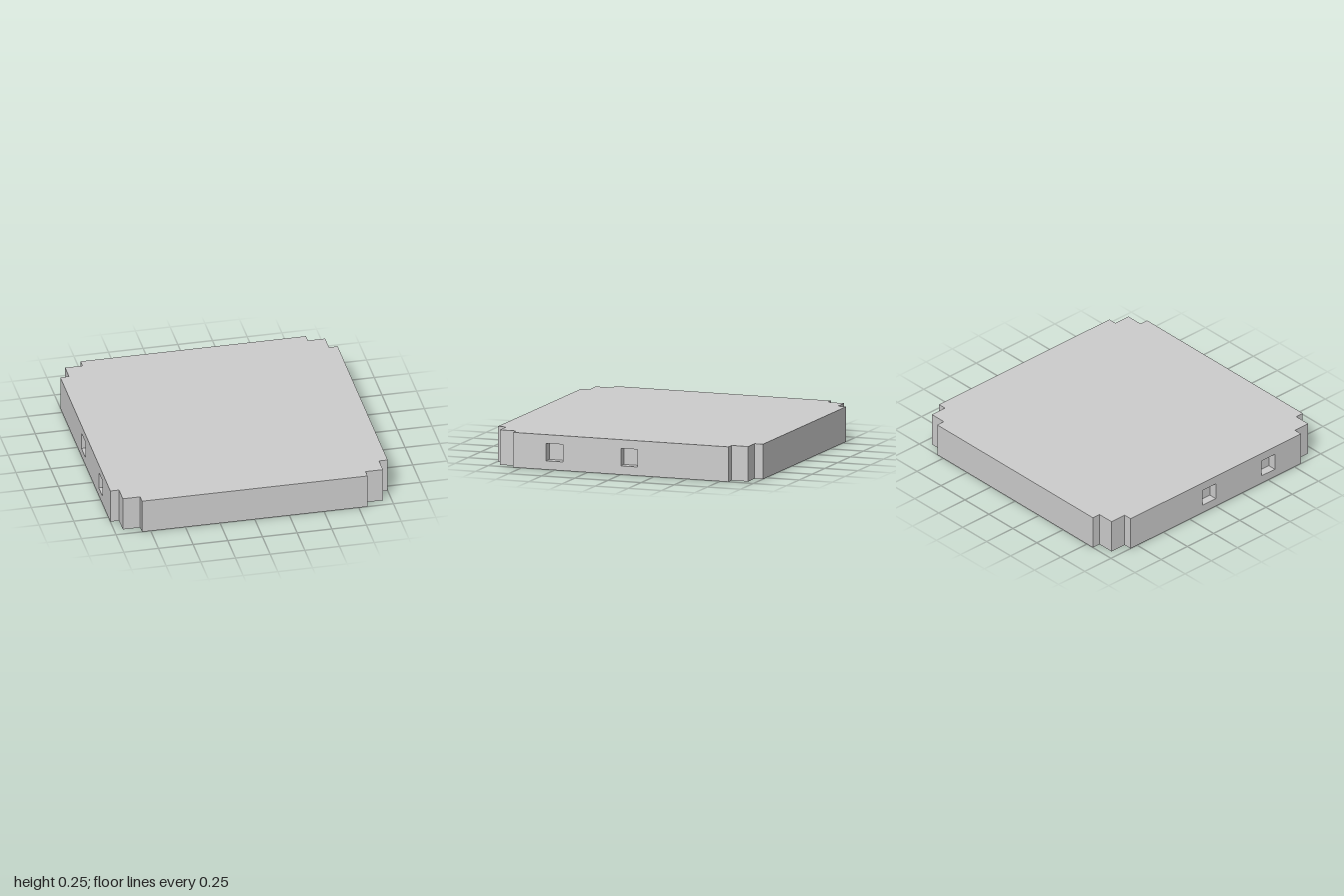
import * as THREE from 'three';

const UNIT = 1 / 16; // the slab is laid out on a grid of 32 units
const HEIGHT = 4 * UNIT;
const CORE = 15 * UNIT; // half width of the core block
const TAB = 13 * UNIT; // half length of the raised side panels

const material = new THREE.MeshStandardMaterial({ color: 0xcccccc, flatShading: true });

function rectangle(Type, x0, y0, x1, y1) {
  const r = new Type();
  r.moveTo(x0, y0);
  r.lineTo(x1, y0);
  r.lineTo(x1, y1);
  r.lineTo(x0, y1);
  r.closePath();
  return r;
}

function part(name, geometry) {
  const mesh = new THREE.Mesh(geometry, material);
  mesh.name = name;
  return mesh;
}

// Square block with front and back panels standing one unit proud
function slabGeometry() {
  const outline = new THREE.Shape([
    [CORE, -CORE], [CORE, CORE], [TAB, CORE], [TAB, 1], [-TAB, 1], [-TAB, CORE],
    [-CORE, CORE], [-CORE, -CORE], [-TAB, -CORE], [-TAB, -1], [TAB, -1], [TAB, -CORE],
  ].map(([x, y]) => new THREE.Vector2(x, y)));
  return new THREE.ExtrudeGeometry(outline, { depth: HEIGHT, bevelEnabled: false })
    .rotateX(-Math.PI / 2);
}

// Side panel pierced by two square sockets; the core closes them behind
function sidePanelGeometry(outerX) {
  const panel = rectangle(THREE.Shape, -TAB, 0, TAB, HEIGHT);
  for (const z of [-2 * UNIT, 7 * UNIT]) {
    panel.holes.push(rectangle(THREE.Path, z, UNIT, z + 2 * UNIT, 3 * UNIT));
  }
  return new THREE.ExtrudeGeometry(panel, { depth: UNIT, bevelEnabled: false })
    .rotateY(-Math.PI / 2)
    .translate(outerX, 0, 0);
}

export function createModel() {
  const model = new THREE.Group();
  model.name = 'notchedSlab';
  model.add(
    part('slab', slabGeometry()),
    part('leftSidePanel', sidePanelGeometry(1)),
    part('rightSidePanel', sidePanelGeometry(-CORE)),
  );
  return model;
}
